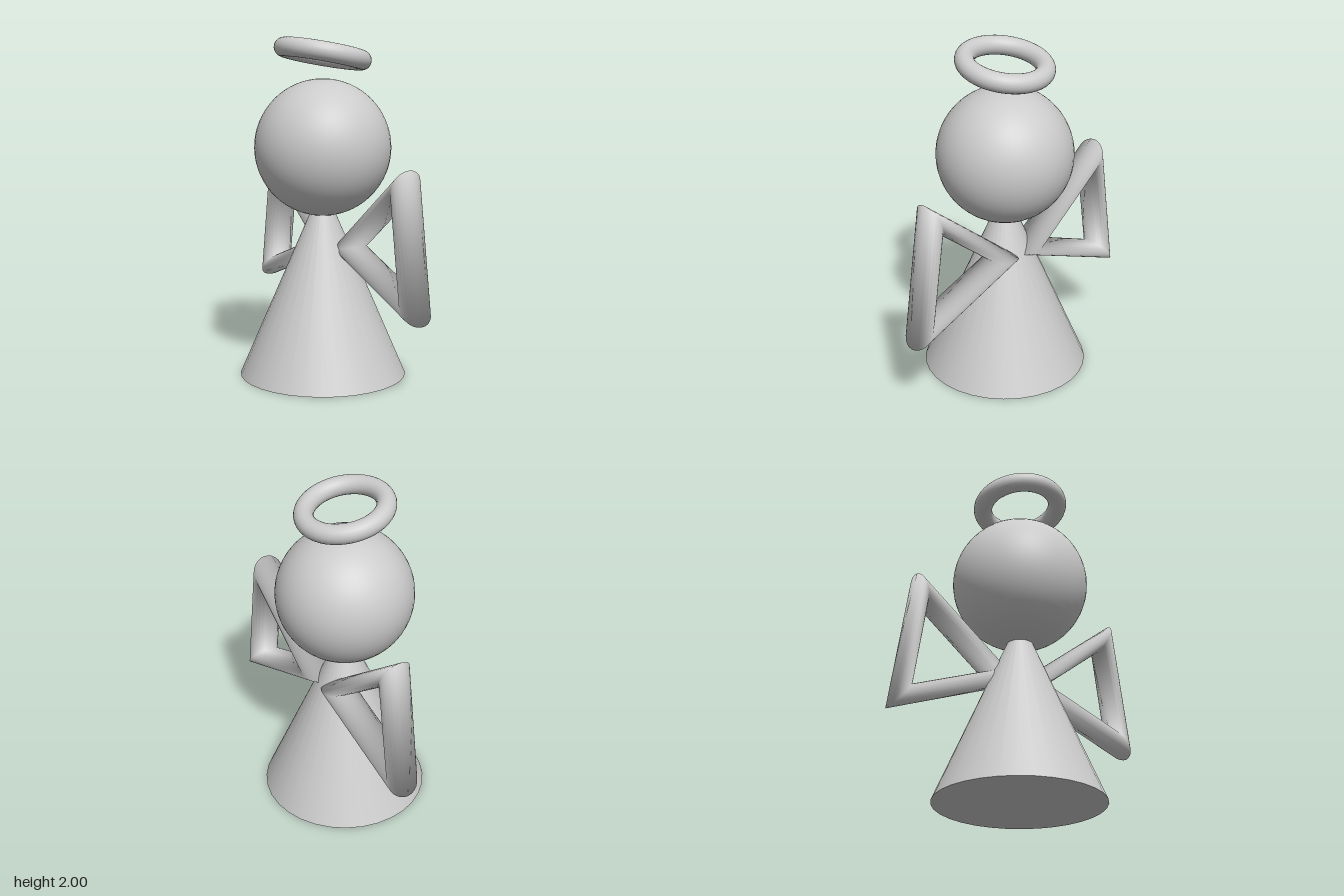
import * as THREE from 'three';

export function createModel() {
  const model = new THREE.Group();
  const material = new THREE.MeshStandardMaterial({ color: 0xcccccc });
  const axisZ = -0.025; // body, head and halo share this depth

  function add(name, geometry, x, y, z) {
    const mesh = new THREE.Mesh(geometry, material);
    mesh.name = name;
    mesh.position.set(x, y, z);
    model.add(mesh);
    return mesh;
  }

  // Conical robe, its tip hidden inside the head
  const robeHeight = 1.145;
  add('robe', new THREE.ConeGeometry(0.493, robeHeight, 32), 0, robeHeight / 2, axisZ);

  // Round head
  add('head', new THREE.SphereGeometry(0.4, 48, 32), 0, 1.358, axisZ);

  // Halo, tipped up towards +x
  const halo = add('halo', new THREE.TorusGeometry(0.23, 0.056, 24, 48), 0, 1.9, axisZ);
  halo.rotation.set(Math.PI / 2, -0.2, 0);

  // Triangular wings: three-segment rings, mirrored front to back
  const wingGeometry = new THREE.TorusGeometry(0.395, 0.1, 24, 3);
  for (const side of [1, -1]) {
    const wing = add(side > 0 ? 'frontWing' : 'backWing', wingGeometry, 0.105, 0.832, side * 0.495);
    wing.rotation.set(0, -side * Math.PI / 2, THREE.MathUtils.degToRad(188.5));
  }

  return model;
}
